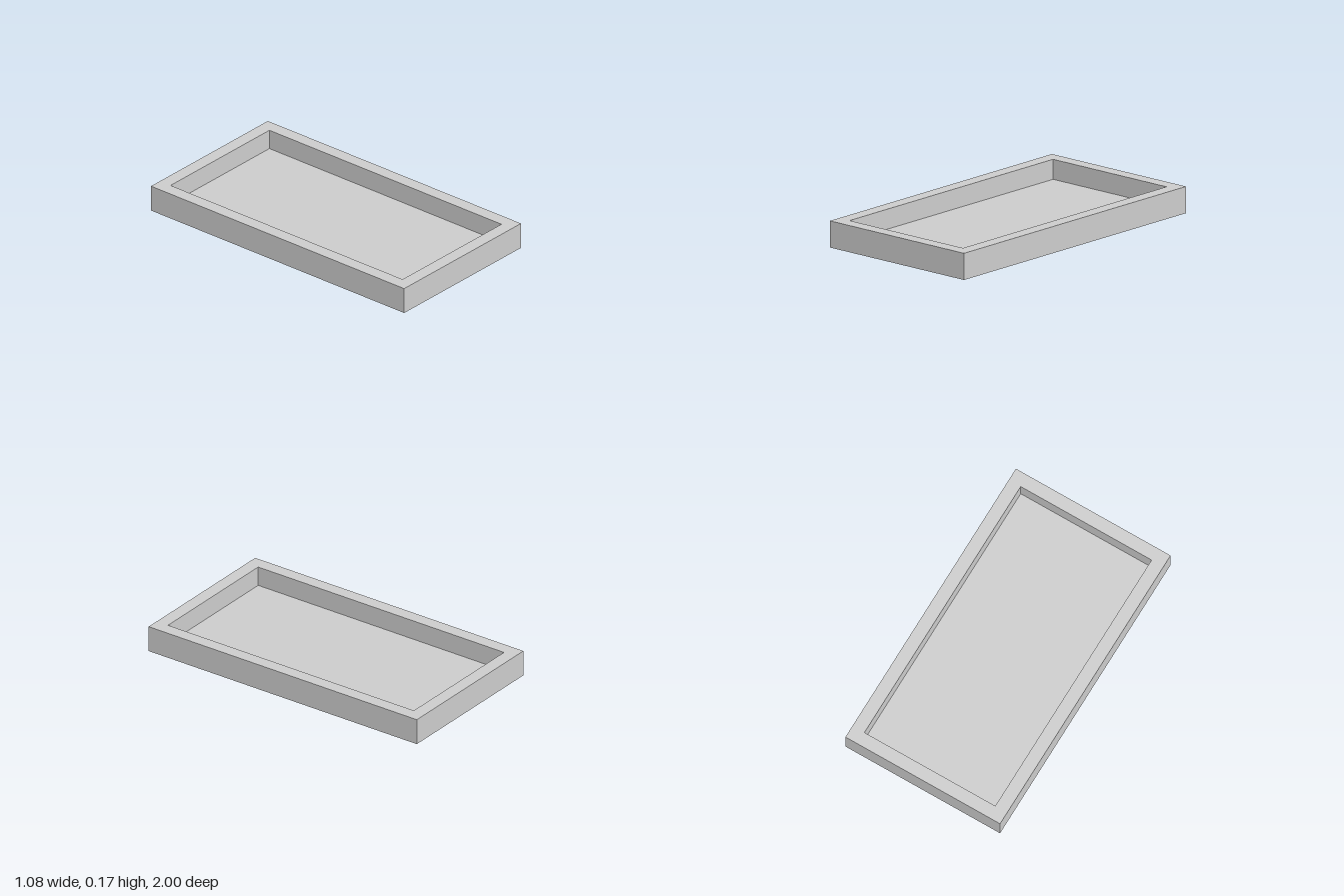
import * as THREE from 'three';

// Tray dimensions, all multiples of one thickness unit
const UNIT = 1 / 24;
const HALF_X = 13 * UNIT, HALF_Z = 24 * UNIT;
const HEIGHT = 4 * UNIT, WALL = 2 * UNIT, FLOOR = UNIT;

// Rectangular ring, counter-clockwise seen from above
function ring(inset, y) {
  const x = HALF_X - inset, z = HALF_Z - inset;
  return [[x, y, z], [x, y, -z], [-x, y, -z], [-x, y, z]];
}

// Closed skin through the rings, capped at both ends, with flat faces
function skinRings(rings) {
  const positions = [];
  const quad = (a, b, c, d) => positions.push(...a, ...b, ...c, ...a, ...c, ...d);
  for (let i = 0; i < rings.length - 1; i++) {
    const a = rings[i], b = rings[i + 1];
    for (let k = 0; k < 4; k++) {
      const n = (k + 1) % 4;
      quad(a[k], a[n], b[n], b[k]);
    }
  }
  quad(...[...rings[0]].reverse());
  quad(...rings[rings.length - 1]);
  const geometry = new THREE.BufferGeometry();
  geometry.setAttribute('position', new THREE.Float32BufferAttribute(positions, 3));
  geometry.computeVertexNormals();
  return geometry;
}

export function createModel() {
  const group = new THREE.Group();
  group.name = 'rectangularTray';

  // Underside, outer walls, rim, inner walls and recessed floor in one solid
  const geometry = skinRings([
    ring(0, 0),
    ring(0, HEIGHT),
    ring(WALL, HEIGHT),
    ring(WALL, FLOOR),
  ]);
  const tray = new THREE.Mesh(
    geometry,
    new THREE.MeshStandardMaterial({ color: 0xcccccc, flatShading: true })
  );
  tray.name = 'tray';
  group.add(tray);
  return group;
}
